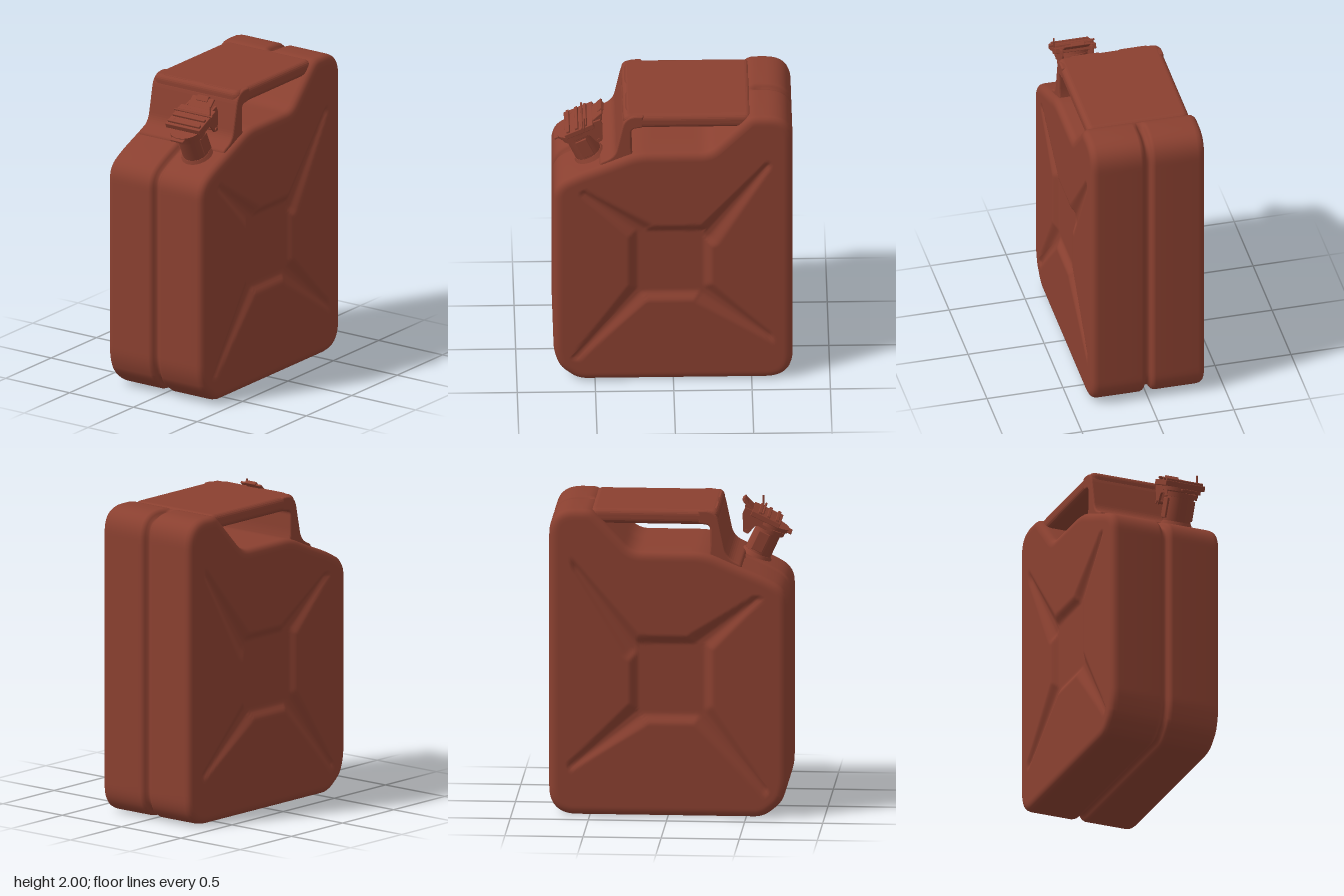
import * as THREE from 'three';
import { RoundedBoxGeometry } from 'three/addons/geometries/RoundedBoxGeometry.js';

const paint = new THREE.MeshStandardMaterial({ color: 0x8a4030 });
paint.name = 'rust red paint';

function add(parent, name, geometry, x = 0, y = 0, z = 0) {
  const mesh = new THREE.Mesh(geometry, paint);
  mesh.name = name;
  mesh.position.set(x, y, z);
  parent.add(mesh);
  return mesh;
}

// Closed path through [x, y, cornerRadius] points
function roundedPath(corners, PathType = THREE.Path) {
  const path = new PathType();
  const n = corners.length;
  const at = (i) => new THREE.Vector2(corners[(i + n) % n][0], corners[(i + n) % n][1]);
  for (let i = 0; i < n; i++) {
    const p = at(i), r = corners[i][2] ?? 0;
    const a = p.clone().add(at(i - 1).sub(p).setLength(r));
    const b = p.clone().add(at(i + 1).sub(p).setLength(r));
    if (i === 0) path.moveTo(a.x, a.y); else path.lineTo(a.x, a.y);
    if (r > 0) path.quadraticCurveTo(p.x, p.y, b.x, b.y);
  }
  path.closePath();
  return path;
}

// Depth of the stamped cross: a square centre and four tapering channels
const channels = [
  [-0.2, 1.13, -0.57, 1.43], [0.22, 1.1, 0.6, 1.63],
  [0.2, 0.66, 0.62, 0.32], [-0.2, 0.7, -0.62, 0.18],
];
function stampDepth(x, y) {
  const edge = Math.min(0.25 - Math.abs(x + 0.02), 0.27 - Math.abs(y - 0.895));
  let depth = 0.035 * THREE.MathUtils.smoothstep(edge, -0.025, 0.045);
  for (const [ax, ay, bx, by] of channels) {
    const dx = bx - ax, dy = by - ay;
    const t = THREE.MathUtils.clamp(((x - ax) * dx + (y - ay) * dy) / (dx * dx + dy * dy), 0, 1);
    const d = Math.hypot(x - ax - t * dx, y - ay - t * dy);
    const radius = 0.1 - 0.07 * t;
    depth = Math.max(depth, (0.035 - 0.018 * t) * (1 - THREE.MathUtils.smoothstep(d, radius * 0.1, radius)));
  }
  return depth;
}

// Body: one outline lofted through the depth, with a seam groove and stamped faces
function bodyGeometry() {
  const N = 260, RINGS = 60, cx = 0, cy = 0.9;
  const outline = roundedPath([
    [-0.61, 0, 0.06], [0.762, 0, 0.18], [0.762, 2, 0.17], [0.49, 2, 0.04],
    [0.23, 1.73, 0.06], [-0.24, 1.73, 0.08], [-0.42, 1.65, 0.05], [-0.62, 1.57, 0.06],
    [-0.765, 1.49, 0.09], [-0.765, 0.19, 0.08], [-0.72, 0.09, 0.04],
  ]).getSpacedPoints(N).slice(0, N);
  const normals = outline.map((p, i) => {
    const a = outline[(i + N - 2) % N], b = outline[(i + 2) % N];
    return new THREE.Vector2(b.y - a.y, a.x - b.x).normalize();
  });
  const inset = (i, d) => outline[i].clone().addScaledVector(normals[i], -d);
  // The seam fades out beneath the handles
  const seam = outline.map((p) => {
    if (p.y < 1.5) return 1;
    const s = THREE.MathUtils.smoothstep;
    return Math.max(1 - s(p.x, -0.42, -0.34), s(p.x, 0.48, 0.56));
  });
  const layers = [];
  for (let k = 1; k <= RINGS; k++) {
    const t = k / RINGS;
    layers.push((i) => {
      const p = inset(i, 0.05);
      const x = cx + (p.x - cx) * (1 - t), y = cy + (p.y - cy) * (1 - t);
      return [x, y, 0.374 - stampDepth(x, y)];
    });
  }
  const side = [
    [0.05, 0.374], [0.032, 0.371], [0.016, 0.362], [0.005, 0.348], [0, 0.325], [0, 0.18],
    [0, 0.05], [0.006, 0.034], [0.018, 0.022], [0.036, 0.014],
  ].map(([d, z]) => (i) => {
    const p = inset(i, z < 0.1 ? d * seam[i] : d);
    return [p.x, p.y, z];
  });
  const half = [...layers.reverse(), ...side];
  const all = [
    ...half.map((f) => (i) => { const [x, y, z] = f(i); return [x, y, -z]; }),
    (i) => { const p = inset(i, 0.04 * seam[i]); return [p.x, p.y, 0]; },
    ...half.slice().reverse(),
  ];
  const position = [], index = [];
  all.forEach((f, k) => {
    for (let i = 0; i < N; i++) {
      position.push(...f(i));
      if (k + 1 < all.length) {
        const a = k * N + i, b = k * N + (i + 1) % N;
        index.push(a, b, b + N, a, b + N, a + N);
      }
    }
  });
  const g = new THREE.BufferGeometry();
  g.setAttribute('position', new THREE.Float32BufferAttribute(position, 3));
  g.setIndex(index);
  g.computeVertexNormals();
  return g;
}

// Extrude a shape centred on its depth, with a rounded bevel inside the given size
function slab(shape, depth, bevel) {
  const g = new THREE.ExtrudeGeometry(shape, {
    depth: depth - 2 * bevel, bevelEnabled: bevel > 0, bevelSize: bevel,
    bevelThickness: bevel, bevelOffset: -bevel, bevelSegments: 5, curveSegments: 8,
  });
  return g.translate(0, 0, -(depth - 2 * bevel) / 2);
}

function addHandles(group) {
  // Three bars joined at both ends, with two pointed slots between them
  const bars = roundedPath([
    [-0.32, -0.335, 0.05], [0.5, -0.335, 0.05], [0.5, 0.335, 0.05], [-0.32, 0.335, 0.05],
  ], THREE.Shape);
  for (const s of [-1, 1]) {
    bars.holes.push(roundedPath([
      [-0.27, s * 0.075, 0.01], [0.2, s * 0.075, 0.06], [0.335, s * 0.125, 0.03],
      [0.335, s * 0.19, 0.03], [0.24, s * 0.24, 0.05], [-0.27, s * 0.24, 0.01],
    ]));
  }
  const plate = slab(bars, 0.096, 0.035).rotateX(Math.PI / 2);
  add(group, 'handleBars', plate, 0, 1.95, 0);

  // Upright wall carrying the handles, flaring into the sloping shoulder
  const wall = roundedPath([
    [-0.47, 1.6], [-0.24, 1.6], [-0.268, 1.75, 0.04], [-0.268, 1.9, 0.03], [-0.19, 1.91, 0.02],
    [-0.19, 1.997, 0.01], [-0.31, 1.997, 0.08], [-0.375, 1.69, 0.06], [-0.47, 1.645, 0.02],
  ], THREE.Shape);
  add(group, 'handleSupport', slab(wall, 0.67, 0.012));
}

function addSpout(group) {
  const spout = new THREE.Group();
  spout.name = 'spout';
  spout.position.set(-0.53, 1.6, 0.165);
  spout.rotation.z = 0.44;
  group.add(spout);
  const disc = (name, r0, r1, y, h) =>
    add(spout, name, new THREE.CylinderGeometry(r1, r0, h, 32), 0, y, 0);
  const box = (name, w, h, d, x, y, z) =>
    add(spout, name, new RoundedBoxGeometry(w, h, d, 2, 0.004), x, y, z);

  disc('neckFlare', 0.125, 0.09, 0, 0.06);
  disc('neck', 0.088, 0.085, 0.09, 0.24);
  disc('neckRim', 0.105, 0.105, 0.2, 0.03);
  disc('capDisc', 0.12, 0.12, 0.235, 0.025);
  box('capBridge', 0.2, 0.035, 0.27, 0.05, 0.265, 0);
  for (const x of [-0.02, 0.04, 0.1]) box('capRib', 0.022, 0.018, 0.25, x, 0.288, 0);
  box('frontLip', 0.03, 0.014, 0.1, -0.125, 0.235, 0);

  // Cheeks, hinge and locking lever
  const cheek = roundedPath([
    [-0.02, 0.285], [-0.02, 0.2], [0.09, 0.2, 0.02], [0.11, 0.125, 0.012],
    [0.145, 0.125, 0.012], [0.2, 0.235, 0.01], [0.2, 0.275],
  ], THREE.Shape);
  for (const s of [-1, 1]) {
    add(spout, 'hingeCheek', slab(cheek, 0.014, 0.002), 0, 0, s * 0.1);
    box('neckLug', 0.075, 0.13, 0.016, 0.015, 0.11, s * 0.088);
  }
  const pin = new THREE.CylinderGeometry(0.012, 0.012, 0.23, 12).rotateX(Math.PI / 2);
  add(spout, 'hingePin', pin, 0.128, 0.14, 0);
  box('leverPlate', 0.13, 0.014, 0.17, 0.165, 0.28, 0).rotation.z = 0.35;
  box('leverTab', 0.04, 0.025, 0.09, 0.215, 0.3, 0).rotation.z = 0.5;
  const rod = new THREE.CylinderGeometry(0.007, 0.007, 0.3, 10).rotateX(Math.PI / 2);
  add(spout, 'lockingRod', rod, 0.08, 0.295, 0.01);
  const post = new THREE.CylinderGeometry(0.006, 0.006, 0.1, 10);
  add(spout, 'lockingPost', post, 0.1, 0.3, 0.13).rotation.z = -0.44;
}

export function createModel() {
  const model = new THREE.Group();
  model.name = 'fuelCan';
  add(model, 'body', bodyGeometry());
  addHandles(model);
  addSpout(model);
  return model;
}
